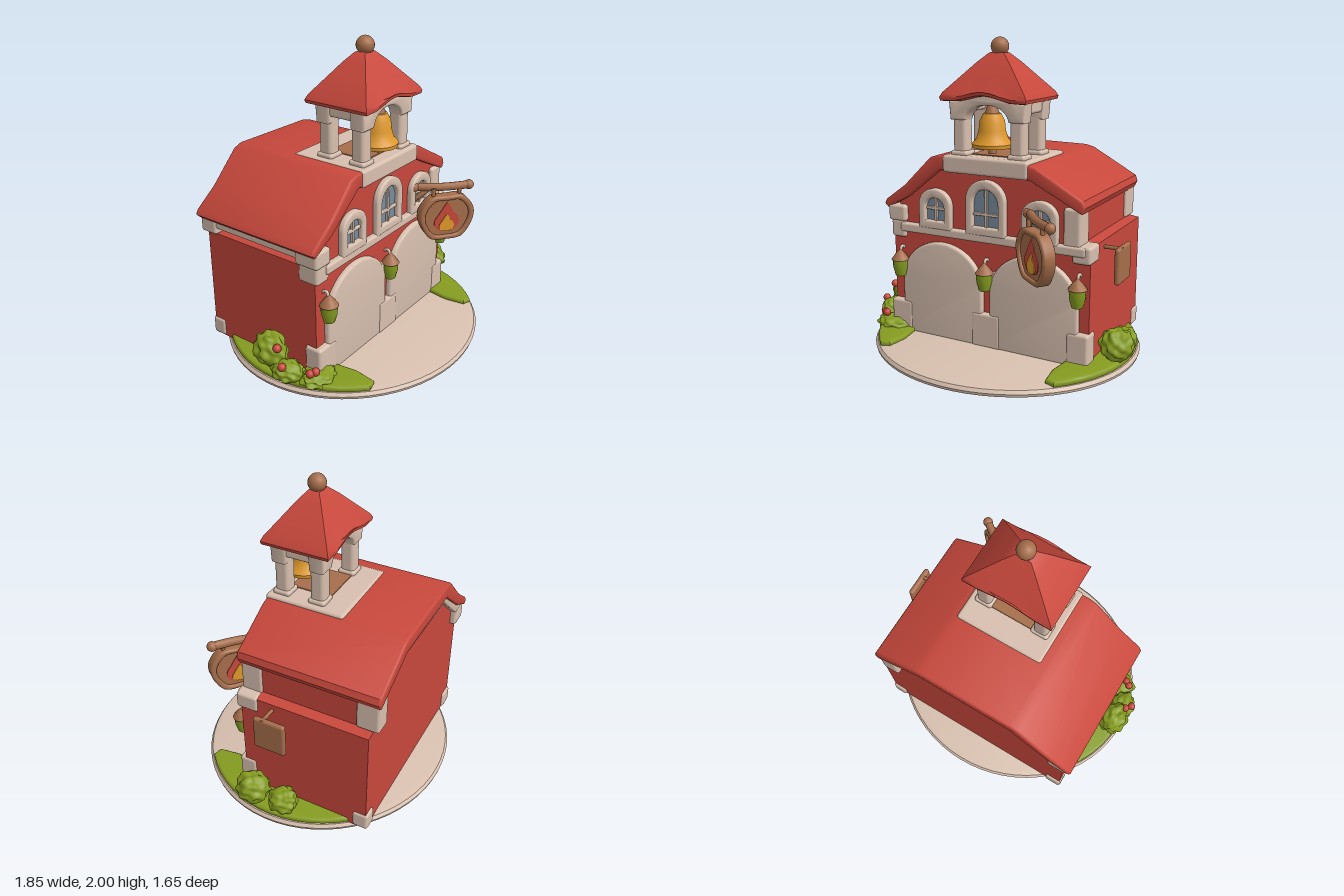
import * as THREE from 'three';
import { toCreasedNormals } from 'three/addons/utils/BufferGeometryUtils.js';
import { RoundedBoxGeometry } from 'three/addons/geometries/RoundedBoxGeometry.js';

const mat = (name, color) => Object.assign(new THREE.MeshStandardMaterial({ color }), { name });
const red = mat('brick red', 0xc8483c), cream = mat('cream plaster', 0xd8c0af), wood = mat('brown wood', 0xa66e4b);
const green = mat('leaf green', 0x859c20), gold = mat('golden yellow', 0xdf992a), glass = mat('grey blue glass', 0x788c9e);

export function createModel() {
  const root = new THREE.Group();
  const add = (name, geo, m, parent = root) => {
    const mesh = new THREE.Mesh(geo, m);
    mesh.name = name;
    parent.add(mesh);
    return mesh;
  };
  // Rounded block given by its min and max corners
  const block = (name, m, x0, x1, y0, y1, z0, z1, r = 0.015, parent = root) => {
    const g = new RoundedBoxGeometry(x1 - x0, y1 - y0, z1 - z0, 2, Math.min(r, (x1 - x0) / 2.1, (y1 - y0) / 2.1, (z1 - z0) / 2.1));
    g.translate((x0 + x1) / 2, (y0 + y1) / 2, (z0 + z1) / 2);
    return add(name, g, m, parent);
  };
  // Shape extruded from z0 to z1, with a rounded edge that stays inside the outline
  const slab = (shape, z0, z1, b = 0) => {
    const g = new THREE.ExtrudeGeometry(shape, {
      depth: z1 - z0 - 2 * b, bevelEnabled: b > 0, bevelSize: b, bevelThickness: b,
      bevelOffset: -b, bevelSegments: 3, curveSegments: 20,
    });
    g.translate(0, 0, z0 + b);
    return toCreasedNormals(g, 0.7);
  };
  const poly = (pts) => new THREE.Shape(pts.map(([x, y]) => new THREE.Vector2(x, y)));
  const archTo = (p, cx, hw, y0, spring, top) => {
    p.moveTo(cx - hw, y0);
    p.lineTo(cx + hw, y0);
    p.lineTo(cx + hw, spring);
    p.absellipse(cx, spring, hw, top - spring, 0, Math.PI, false, 0);
    p.lineTo(cx - hw, y0);
    return p;
  };
  const lathe = (pts, seg = 32) => toCreasedNormals(
    new THREE.LatheGeometry(pts.map(([r, y]) => new THREE.Vector2(r, y)), seg), 0.7);
  const tube = (pts, r) => new THREE.TubeGeometry(
    new THREE.CatmullRomCurve3(pts.map((p) => new THREE.Vector3(...p))), 16, r, 10);
  const ball = (name, m, r, x, y, z, parent = root) =>
    add(name, new THREE.SphereGeometry(r, 20, 14).translate(x, y, z), m, parent);

  // Oval ground slab with a wooden underside
  add('groundSlab', lathe([[0.86, 0], [0.885, 0.012], [0.89, 0.03], [0.875, 0.05], [0.84, 0.058], [0, 0.062]], 64), cream).scale.z = 0.928;
  add('groundUnderside', new THREE.CircleGeometry(0.86, 64).rotateX(Math.PI / 2), wood).scale.z = 0.928;

  // Lawns either side
  for (const s of [-1, 1]) {
    const pts = [[0.55, 0.56], [0.53, 0.42], [0.55, 0.28], [0.6, 0.2], [0.6, -0.5]];
    for (let i = 0; i <= 14; i++) {
      const a = -0.67 + (i / 14) * 1.46;
      pts.push([0.87 * Math.cos(a), 0.81 * Math.sin(a)]);
    }
    add('lawn', slab(poly(pts.map(([x, z]) => [s * x, z])), 0, 0.04, 0.015).rotateX(Math.PI / 2).translate(0, 0.085, 0), green);
  }

  // Main walls, then a front wall layer with door openings
  const outline = [[-0.71, 0.05], [0.69, 0.05], [0.69, 0.8], [0.62, 0.81], [0.62, 1.04], [0.3, 1.22],
    [-0.34, 1.22], [-0.66, 0.97], [-0.66, 0.82], [-0.71, 0.8]];
  add('mainWalls', slab(poly(outline), -0.61, 0.2), red);
  const doors = [-0.33, 0.325], front = poly(outline);
  for (const x of doors) front.holes.push(archTo(new THREE.Path(), x, 0.24, 0.055, 0.44, 0.61));
  add('frontWall', slab(front, 0.2, 0.25), red);

  // Gambrel roof
  add('roof', slab(poly([[-0.765, 0.92], [-0.75, 0.95], [-0.6, 1.06], [-0.4, 1.255], [-0.34, 1.275], [0.28, 1.265],
    [0.34, 1.25], [0.645, 1.08], [0.66, 1.04], [0.64, 1.0], [0.3, 1.17], [-0.33, 1.18], [-0.58, 0.98], [-0.74, 0.895]]),
  -0.66, 0.285, 0.015), red);
  add('rearFascia', slab(poly([[-0.73, 0.88], [-0.37, 1.21], [-0.33, 1.25], [0.28, 1.25], [0.64, 1.02], [0.62, 0.96],
    [0.28, 1.14], [-0.33, 1.14], [-0.68, 0.84]]), -0.645, -0.6, 0.01), cream);

  // Garage doors
  for (const x of doors) {
    const g = new THREE.Group();
    g.name = 'garageDoor';
    root.add(g);
    const ring = archTo(new THREE.Shape(), x, 0.3, 0.055, 0.43, 0.7);
    ring.holes.push(archTo(new THREE.Path(), x, 0.228, 0.045, 0.44, 0.605));
    add('doorArch', slab(ring, 0.22, 0.285, 0.015), cream, g);
    block('doorWindow', glass, x - 0.2, x + 0.2, 0.35, 0.435, 0.199, 0.208, 0.003, g);
    block('windowMullion', cream, x - 0.02, x + 0.02, 0.35, 0.435, 0.2, 0.212, 0.003, g);
    for (const y of [0.24, 0.49]) block('doorPanelRib', red, x - 0.22, x + 0.22, y, y + 0.012, 0.195, 0.21, 0.004, g);
    block('warningStrip', gold, x - 0.228, x + 0.228, 0.06, 0.13, 0.199, 0.208, 0.002, g);
    for (let i = 0; i < 4; i++) {
      const a = x - 0.2 + i * 0.108;
      add('warningStripe', slab(poly([[a + 0.04, 0.062], [a + 0.09, 0.062], [a + 0.04, 0.13], [a - 0.01, 0.13]]), 0.205, 0.211), wood, g);
    }
  }

  // Pillars, feet, string course and corner stones
  block('centrePillar', cream, -0.1, 0.1, 0.055, 0.28, 0.2, 0.29);
  block('centrePillarTop', cream, -0.08, 0.08, 0.44, 0.56, 0.2, 0.28);
  block('stringCourse', cream, -0.64, 0.67, 0.745, 0.805, 0.22, 0.288);
  for (const [a, b] of [[-0.725, -0.56], [0.555, 0.7]]) {
    block('frontFoot', cream, a, b, 0.05, 0.27, 0.17, 0.29, 0.02);
    block('rearFoot', cream, a < 0 ? -0.72 : 0.6, a < 0 ? -0.6 : 0.7, 0.05, 0.17, -0.625, -0.52, 0.02);
  }
  block('leftCornerStone', cream, -0.735, -0.6, 0.81, 0.92, 0.12, 0.285, 0.02);
  block('leftCornerStone', cream, -0.72, -0.61, 0.7, 0.82, 0.13, 0.275, 0.02);
  block('rightCornerStone', cream, 0.52, 0.632, 0.79, 1.03, 0.13, 0.275, 0.02);
  block('rightCornerStone', cream, 0.58, 0.702, 0.7, 0.81, 0.13, 0.28, 0.02);
  block('rearCornerStone', cream, 0.52, 0.64, 0.81, 1.03, -0.65, -0.5, 0.02);
  block('rearCornerStone', cream, -0.735, -0.6, 0.8, 0.92, -0.65, -0.52, 0.02);
  block('eaveBoard', cream, -0.725, -0.62, 0.84, 0.92, -0.62, 0.26);

  // Arched upper windows
  for (const [x, hw, y0, spring, top] of [[-0.37, 0.12, 0.79, 0.95, 1.055], [0, 0.14, 0.79, 1.01, 1.145], [0.37, 0.12, 0.79, 0.95, 1.055]]) {
    const g = new THREE.Group();
    g.name = 'archedWindow';
    root.add(g);
    const frame = archTo(new THREE.Shape(), x, hw, y0, spring, top), w = hw - 0.05;
    frame.holes.push(archTo(new THREE.Path(), x, w, 0.845, spring - 0.02, top - 0.06));
    add('windowFrame', slab(frame, 0.245, 0.29, 0.012), cream, g);
    add('windowGlass', slab(archTo(new THREE.Shape(), x, w + 0.01, 0.835, spring - 0.02, top - 0.05), 0.251, 0.259), glass, g);
    block('windowBar', cream, x - 0.01, x + 0.01, 0.84, top - 0.05, 0.255, 0.275, 0.005, g);
    block('windowBar', cream, x - w, x + w, 0.915, 0.935, 0.255, 0.275, 0.005, g);
  }

  // Bell tower
  const tower = new THREE.Group();
  tower.name = 'bellTower';
  root.add(tower);
  block('towerBase', cream, -0.3, 0.295, 1.17, 1.282, -0.24, 0.295, 0.02, tower);
  block('towerFloor', wood, -0.14, 0.14, 1.276, 1.288, -0.08, 0.2, 0.003, tower);
  for (const x of [-0.198, 0.198]) {
    for (const z of [0.205, -0.037]) {
      block('post', cream, x - 0.047, x + 0.047, 1.26, 1.6, z - 0.047, z + 0.047, 0.025, tower);
      block('postFoot', cream, x - 0.06, x + 0.06, 1.27, 1.31, z - 0.058, z + 0.058, 0.018, tower);
    }
    block('sideLintel', cream, x - 0.052, x + 0.052, 1.545, 1.63, -0.09, 0.255, 0.02, tower);
  }
  const lintel = new THREE.Shape();
  lintel.moveTo(-0.255, 1.5);
  lintel.lineTo(-0.15, 1.5);
  lintel.bezierCurveTo(-0.13, 1.63, 0.13, 1.63, 0.15, 1.5);
  lintel.lineTo(0.255, 1.5);
  lintel.lineTo(0.265, 1.615);
  lintel.bezierCurveTo(0.12, 1.63, 0.1, 1.672, 0, 1.672);
  lintel.bezierCurveTo(-0.1, 1.672, -0.12, 1.63, -0.265, 1.615);
  for (const z of [0.16, -0.095]) add('archedLintel', slab(lintel, z, z + 0.105, 0.015), cream, tower);

  // Square tower roof with eaves lifted over the arches
  const cap = new THREE.LatheGeometry([[0, 1.63], [0.27, 1.615], [0.292, 1.62], [0.297, 1.64], [0.28, 1.67], [0.19, 1.765],
    [0.11, 1.85], [0.05, 1.905], [0, 1.915]].map(([r, y]) => new THREE.Vector2(r, y)), 32);
  const cp = cap.attributes.position;
  for (let i = 0; i < cp.count; i++) {
    const x = cp.getX(i), y = cp.getY(i), z = cp.getZ(i), r = Math.hypot(x, z);
    const k = r > 0 ? r / Math.max(Math.abs(x), Math.abs(z)) : 1;
    const lift = y < 1.66 && r > 0.2 && Math.abs(z) >= Math.abs(x) ? 0.04 * (0.5 + 0.5 * Math.cos(Math.PI * Math.min(1, Math.abs(x * k) / 0.22))) : 0;
    cp.setXYZ(i, x * k, y + lift, z * k * 0.76);
  }
  add('towerRoof', toCreasedNormals(cap, 0.6).translate(-0.004, 0, 0.085), red, tower);
  ball('finial', wood, 0.057, 0, 1.943, 0.085, tower);

  // Bell
  add('bell', lathe([[0, 1.36], [0.1, 1.35], [0.125, 1.338], [0.127, 1.36], [0.1, 1.39], [0.084, 1.44], [0.078, 1.5],
    [0.055, 1.545], [0, 1.56]]).translate(0, 0, 0.185), gold, tower);
  add('bellClapper', new THREE.CylinderGeometry(0.022, 0.026, 0.06, 14).translate(0, 1.328, 0.185), wood, tower);
  add('bellCrown', new THREE.CylinderGeometry(0.025, 0.05, 0.07, 16).translate(0, 1.57, 0.185), wood, tower);

  // Hanging sign with a flame on both faces
  add('signArm', tube([[0.28, 0.975, 0.24], [0.42, 0.972, 0.42], [0.565, 0.972, 0.54]], 0.027), wood);
  ball('signArmEnd', wood, 0.036, 0.295, 0.975, 0.27);
  ball('signArmEnd', wood, 0.033, 0.56, 0.972, 0.535);
  add('signBrace', tube([[0.3, 0.86, 0.25], [0.31, 0.9, 0.29], [0.36, 0.96, 0.35]], 0.016), wood);
  const sign = new THREE.Group();
  sign.name = 'hangingSign';
  sign.position.set(0.425, 0.767, 0.445);
  sign.rotation.y = -0.66;
  root.add(sign);
  const shield = (k) => new THREE.Shape().setFromPoints(new THREE.SplineCurve([[0, -0.158], [0.11, -0.145], [0.18, -0.04], [0.185, 0.06],
    [0.11, 0.15], [0, 0.155], [-0.11, 0.15], [-0.185, 0.06], [-0.18, -0.04], [-0.11, -0.145], [0, -0.158]]
    .map(([x, y]) => new THREE.Vector2(x * k, y * k))).getPoints(40));
  const rim = shield(1);
  rim.holes.push(shield(0.8));
  add('signRim', slab(rim, -0.04, 0.04, 0.012), wood, sign);
  add('signBoard', slab(shield(0.88), -0.022, 0.022), wood, sign);
  const flame = (s) => {
    const f = new THREE.Shape();
    f.moveTo(0, -0.1);
    f.bezierCurveTo(0.11 * s, -0.1, 0.11 * s, -0.1 + 0.1 * s, 0.04 * s, -0.1 + 0.14 * s);
    f.quadraticCurveTo(0.03 * s, -0.1 + 0.18 * s, 0, -0.1 + 0.21 * s);
    f.quadraticCurveTo(-0.03 * s, -0.1 + 0.17 * s, -0.06 * s, -0.1 + 0.12 * s);
    f.bezierCurveTo(-0.11 * s, -0.1 + 0.07 * s, -0.09 * s, -0.1, 0, -0.1);
    return f;
  };
  for (const s of [1, -1]) {
    add('outerFlame', slab(flame(1), 0.021, 0.027), red, sign).rotation.y = s > 0 ? 0 : Math.PI;
    add('innerFlame', slab(flame(0.6), 0.026, 0.031), gold, sign).rotation.y = s > 0 ? 0 : Math.PI;
    add('signHook', new THREE.CylinderGeometry(0.014, 0.014, 0.07, 10).translate(s * 0.09, 0.17, 0), wood, sign);
  }

  // Side notice board on a bracket
  block('sideBoard', wood, 0.775, 0.812, 0.54, 0.77, -0.12, 0.095, 0.018);
  add('sideBoardBracket', new THREE.CylinderGeometry(0.012, 0.012, 0.13, 10).rotateZ(Math.PI / 2).translate(0.745, 0.757, 0.03), wood);

  // Wall lanterns
  for (const x of [-0.64, 0, 0.63]) {
    const g = new THREE.Group();
    g.name = 'lantern';
    g.position.set(x, 0, 0.295);
    root.add(g);
    add('lanternBody', lathe([[0, 0.44], [0.035, 0.445], [0.05, 0.5], [0.052, 0.555], [0, 0.56]], 12), green, g);
    add('lanternRoof', lathe([[0, 0.55], [0.06, 0.555], [0.035, 0.59], [0.012, 0.615], [0, 0.63]], 12), wood, g);
    add('lanternHook', tube([[0, 0.61, 0], [0, 0.64, -0.02], [0, 0.62, -0.06]], 0.01), cream, g);
  }

  // Lumpy bushes and flowers
  const bush = (x, y, z, rx, ry, rz) => {
    const g = new THREE.SphereGeometry(1, 40, 28), p = g.attributes.position, v = new THREE.Vector3();
    for (let i = 0; i < p.count; i++) {
      v.fromBufferAttribute(p, i);
      const n = Math.sin(v.x * 8 + z * 20) * Math.sin(v.y * 9 + x * 9) + Math.sin(v.z * 8 + v.y * 4) * Math.cos(v.x * 7);
      v.multiplyScalar(0.93 + 0.08 * n);
      p.setXYZ(i, x + v.x * rx, y + v.y * ry, z + v.z * rz);
    }
    g.computeVertexNormals();
    add('bush', g, green);
  };
  bush(0.82, 0.185, 0.12, 0.11, 0.105, 0.115);
  bush(0.79, 0.135, -0.08, 0.095, 0.08, 0.1);
  bush(-0.82, 0.22, -0.02, 0.1, 0.12, 0.12);
  bush(-0.83, 0.13, 0.12, 0.09, 0.07, 0.11);
  bush(-0.72, 0.09, 0.27, 0.13, 0.05, 0.1);
  for (const [x, y, z] of [[-0.86, 0.28, 0.07], [-0.89, 0.19, 0.13], [-0.77, 0.155, 0.29], [-0.8, 0.15, 0.27]]) ball('flower', red, 0.026, x, y, z);
  return root;
}
